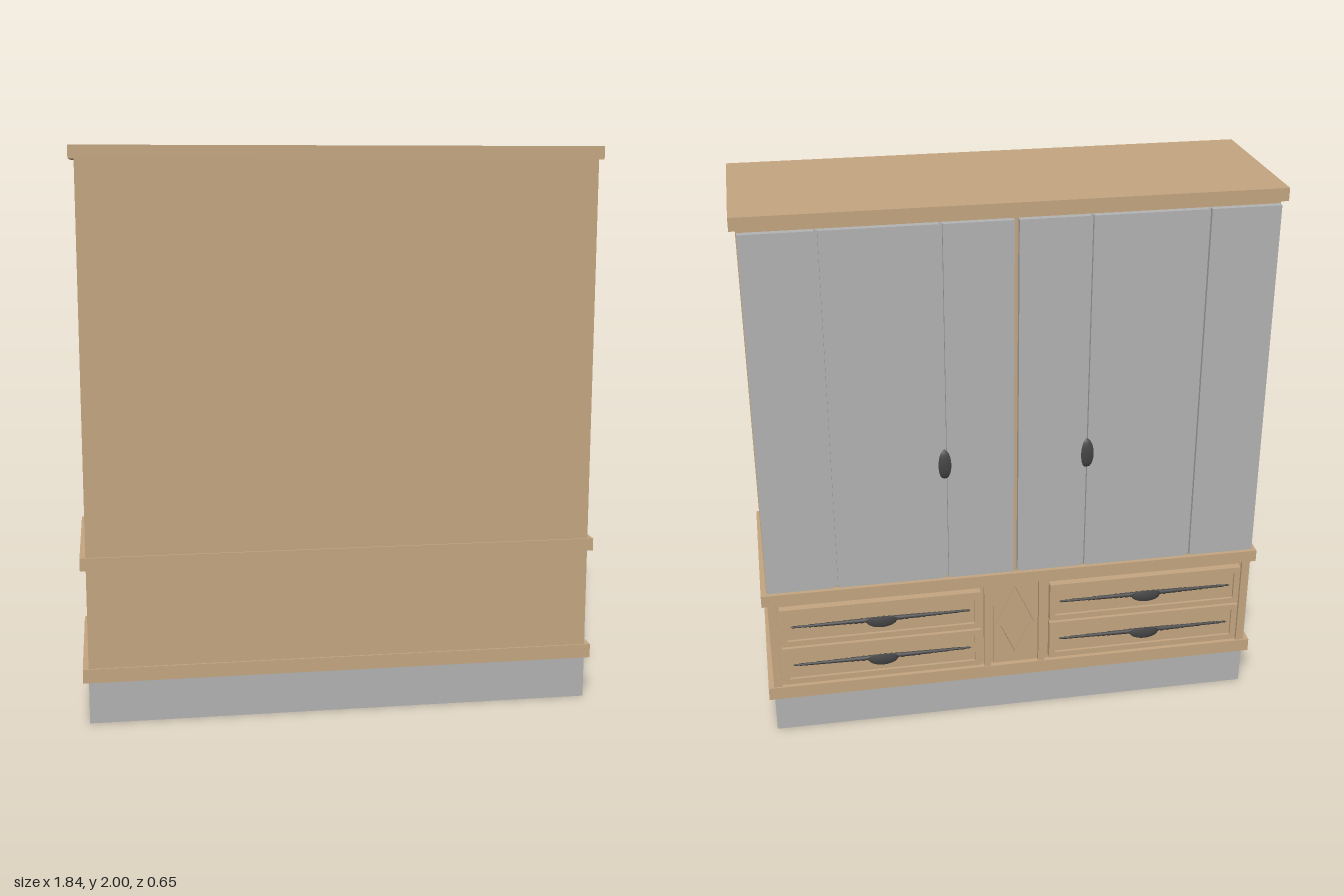
import * as THREE from 'three';

const wood = new THREE.MeshStandardMaterial({ color: 0xc4a680 });
wood.name = 'wood';
const grey = new THREE.MeshStandardMaterial({ color: 0xb3b3b3 });
grey.name = 'grey panel';
const iron = new THREE.MeshStandardMaterial({ color: 0x454545, side: THREE.DoubleSide });
iron.name = 'dark iron';

// Box given by its limits on each axis
function block(name, mat, [x0, x1], [y0, y1], [z0, z1]) {
  const m = new THREE.Mesh(new THREE.BoxGeometry(x1 - x0, y1 - y0, z1 - z0), mat);
  m.position.set((x0 + x1) / 2, (y0 + y1) / 2, (z0 + z1) / 2);
  m.name = name;
  return m;
}

// Rectangular moulding around an opening, facing -z
function frame(name, [x0, x1], [y0, y1], t, z) {
  const g = new THREE.Group();
  g.name = name;
  g.add(
    block('bottomRail', wood, [x0, x1], [y0, y0 + t], z),
    block('topRail', wood, [x0, x1], [y1 - t, y1], z),
    block('stileA', wood, [x0, x0 + t], [y0 + t, y1 - t], z),
    block('stileB', wood, [x1 - t, x1], [y0 + t, y1 - t], z));
  return g;
}

// Bowed leaf-shaped pull, long axis along y, bulging towards -z
function leafPull(name, length, width, bow) {
  const geo = new THREE.PlaneGeometry(1, 1, 6, 16);
  const p = geo.attributes.position;
  for (let i = 0; i < p.count; i++) {
    const u = p.getX(i) * 2, v = p.getY(i) * 2;
    const arch = Math.sqrt(Math.max(0, 1 - v * v));
    p.setXYZ(i, u * arch * width / 2, v * length / 2, -bow * arch * (1 - 0.25 * u * u));
  }
  geo.computeVertexNormals();
  const m = new THREE.Mesh(geo, iron);
  m.name = name;
  return m;
}

// Tapered beaded bar along x
function beadedBar(length, radius) {
  const pts = [];
  for (let i = 0; i <= 64; i++) {
    const t = i / 32 - 1;
    const r = radius * (1 - 0.65 * Math.abs(t)) * (i % 2 ? 1 : 0.75);
    pts.push(new THREE.Vector2(Math.abs(t) === 1 ? 0 : r, t * length / 2));
  }
  const m = new THREE.Mesh(new THREE.LatheGeometry(pts, 8), iron);
  m.rotation.z = Math.PI / 2;
  m.name = 'beadedBar';
  return m;
}

function diamond(w, h, Type) {
  const d = new Type();
  d.moveTo(w, 0); d.lineTo(0, h); d.lineTo(-w, 0); d.lineTo(0, -h); d.closePath();
  return d;
}

export function createModel() {
  const root = new THREE.Group();
  root.name = 'wardrobe';

  // Carcass: plinth with a wooden underside, body and three ledges
  root.add(
    block('plinth', [grey, grey, grey, wood, grey, grey], [-0.9, 0.9], [0, 0.15], [-0.28, 0.32]),
    block('lowerBody', wood, [-0.9, 0.9], [0.2, 0.555], [-0.28, 0.32]),
    block('upperBody', wood, [-0.9, 0.9], [0.6, 1.955], [-0.28, 0.32]),
    block('lowerLedge', wood, [-0.92, 0.92], [0.15, 0.2], [-0.3, 0.327]),
    block('middleLedge', wood, [-0.92, 0.92], [0.555, 0.6], [-0.3, 0.327]),
    block('topBoard', wood, [-0.92, 0.92], [1.955, 2], [-0.3, 0.32]));

  for (const s of [1, -1]) {
    const span = (a, b) => (s > 0 ? [a, b] : [-b, -a]);

    // Door: backing sheet with three raised panels
    const door = new THREE.Group();
    door.name = s > 0 ? 'leftDoor' : 'rightDoor';
    door.add(block('doorBacking', grey, span(0.008, 0.897), [0.612, 1.943], [-0.288, -0.28]));
    for (const [a, b] of [[0.008, 0.244], [0.256, 0.644], [0.656, 0.897]])
      door.add(block('doorPanel', grey, span(a, b), [0.612, 1.943], [-0.304, -0.288]));
    const pull = leafPull('doorPull', 0.115, 0.045, 0.018);
    pull.position.set(s * 0.253, 1.075, -0.302);
    door.add(pull);
    root.add(door);

    // Corner post and drawer surround
    root.add(block('cornerPost', wood, span(0.87, 0.9), [0.2, 0.555], [-0.294, -0.28]));
    root.add(block('innerPost', wood, span(0.09, 0.115), [0.2, 0.555], [-0.298, -0.28]));

    // Two drawers with raised edges and pulls
    for (const y of [0.295, 0.46]) {
      const drawer = new THREE.Group();
      drawer.name = 'drawer';
      drawer.add(
        block('drawerFront', wood, span(0.13, 0.86), [y - 0.078, y + 0.078], [-0.298, -0.28]),
        frame('drawerMoulding', span(0.13, 0.86), [y - 0.078, y + 0.078], 0.022, [-0.308, -0.298]));
      const bar = beadedBar(0.66, 0.012);
      bar.position.set(s * 0.495, y, -0.301);
      const leaf = leafPull('drawerPull', 0.115, 0.045, 0.019);
      leaf.rotation.z = Math.PI / 2;
      leaf.position.set(s * 0.495, y, -0.307);
      drawer.add(bar, leaf);
      root.add(drawer);
    }
  }

  // Centre panel with a diamond moulding
  root.add(block('centrePanel', wood, [-0.08, 0.08], [0.205, 0.55], [-0.288, -0.28]));
  const outline = diamond(0.074, 0.163, THREE.Shape);
  outline.holes.push(diamond(0.055, 0.122, THREE.Path));
  const rhombus = new THREE.Mesh(
    new THREE.ExtrudeGeometry(outline, { depth: 0.016, bevelEnabled: false }), wood);
  rhombus.position.set(0, 0.378, -0.304);
  rhombus.name = 'diamondMoulding';
  root.add(rhombus);

  return root;
}
